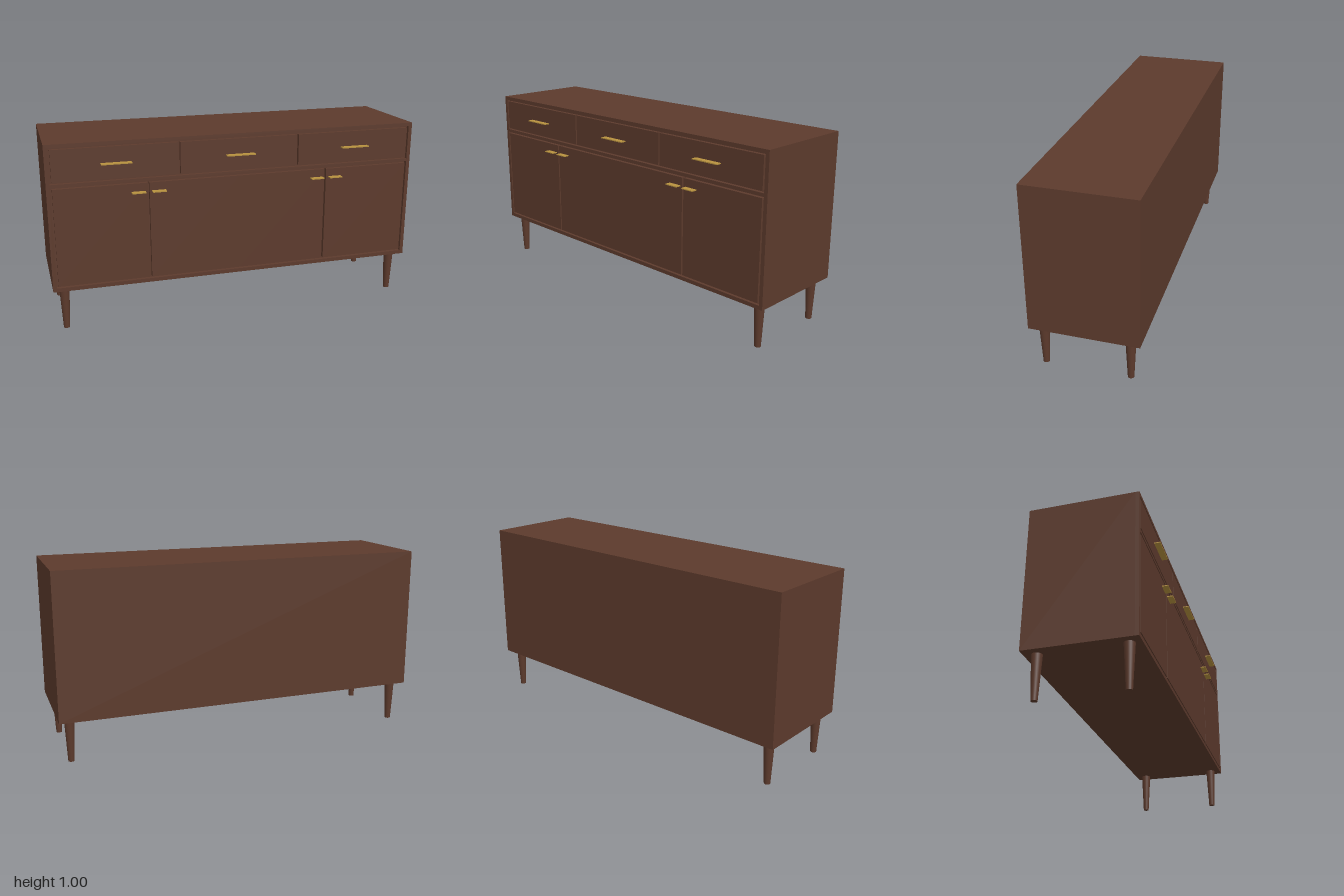
import * as THREE from 'three';

export function createModel() {
  const group = new THREE.Group();
  const walnut = new THREE.MeshStandardMaterial({ color: 0x5c3a2c });
  walnut.name = 'walnut';
  const brass = new THREE.MeshStandardMaterial({ color: 0xb8923f });
  brass.name = 'brass';

  const bottom = 0.228, top = 1, back = -0.296, front = 0.264;
  const inset = 0.02; // depth of the grooves around drawers and doors

  // Box given by its limits along each axis
  function box(name, material, x0, x1, y0, y1, z0, z1) {
    const mesh = new THREE.Mesh(new THREE.BoxGeometry(x1 - x0, y1 - y0, z1 - z0), material);
    mesh.position.set((x0 + x1) / 2, (y0 + y1) / 2, (z0 + z1) / 2);
    mesh.name = name;
    group.add(mesh);
  }

  function rectangle(path, x0, x1, y0, y1) {
    path.moveTo(x0, y0);
    path.lineTo(x1, y0);
    path.lineTo(x1, y1);
    path.lineTo(x0, y1);
    path.closePath();
    return path;
  }

  // Carcass, with a face frame open at the drawer row and the door row
  box('carcass', walnut, -1, 1, bottom, top, back, front - inset);
  const frame = rectangle(new THREE.Shape(), -1, 1, bottom, top);
  for (const [y0, y1] of [[0.248, 0.782], [0.798, 0.982]]) {
    frame.holes.push(rectangle(new THREE.Path(), -0.98, 0.98, y0, y1));
  }
  const faceFrame = new THREE.Mesh(
    new THREE.ExtrudeGeometry(frame, { depth: inset, bevelEnabled: false }), walnut);
  faceFrame.position.z = front - inset;
  faceFrame.name = 'faceFrame';
  group.add(faceFrame);

  // Drawer fronts and doors, flush with the frame
  for (const [x0, x1] of [[-0.971, -0.328], [-0.319, 0.319], [0.328, 0.971]]) {
    box('drawerFront', walnut, x0, x1, 0.807, 0.973, front - inset, front);
  }
  for (const [x0, x1] of [[-0.971, -0.493], [-0.484, 0], [0, 0.484], [0.493, 0.971]]) {
    box('door', walnut, x0, x1, 0.257, 0.773, front - inset, front);
  }

  // Thin plate pulls
  for (const x of [-0.65, 0, 0.65]) {
    box('drawerPull', brass, x - 0.078, x + 0.078, 0.887, 0.892, front, 0.296);
  }
  for (const x of [-0.542, -0.436, 0.436, 0.542]) {
    box('doorPull', brass, x - 0.036, x + 0.036, 0.726, 0.731, front, 0.296);
  }

  // Tapered round legs
  const legGeometry = new THREE.CylinderGeometry(0.027, 0.016, bottom, 24);
  for (const x of [-0.94, 0.94]) {
    for (const z of [0.204, -0.234]) {
      const leg = new THREE.Mesh(legGeometry, walnut);
      leg.position.set(x, bottom / 2, z);
      leg.name = 'leg';
      group.add(leg);
    }
  }
  return group;
}
